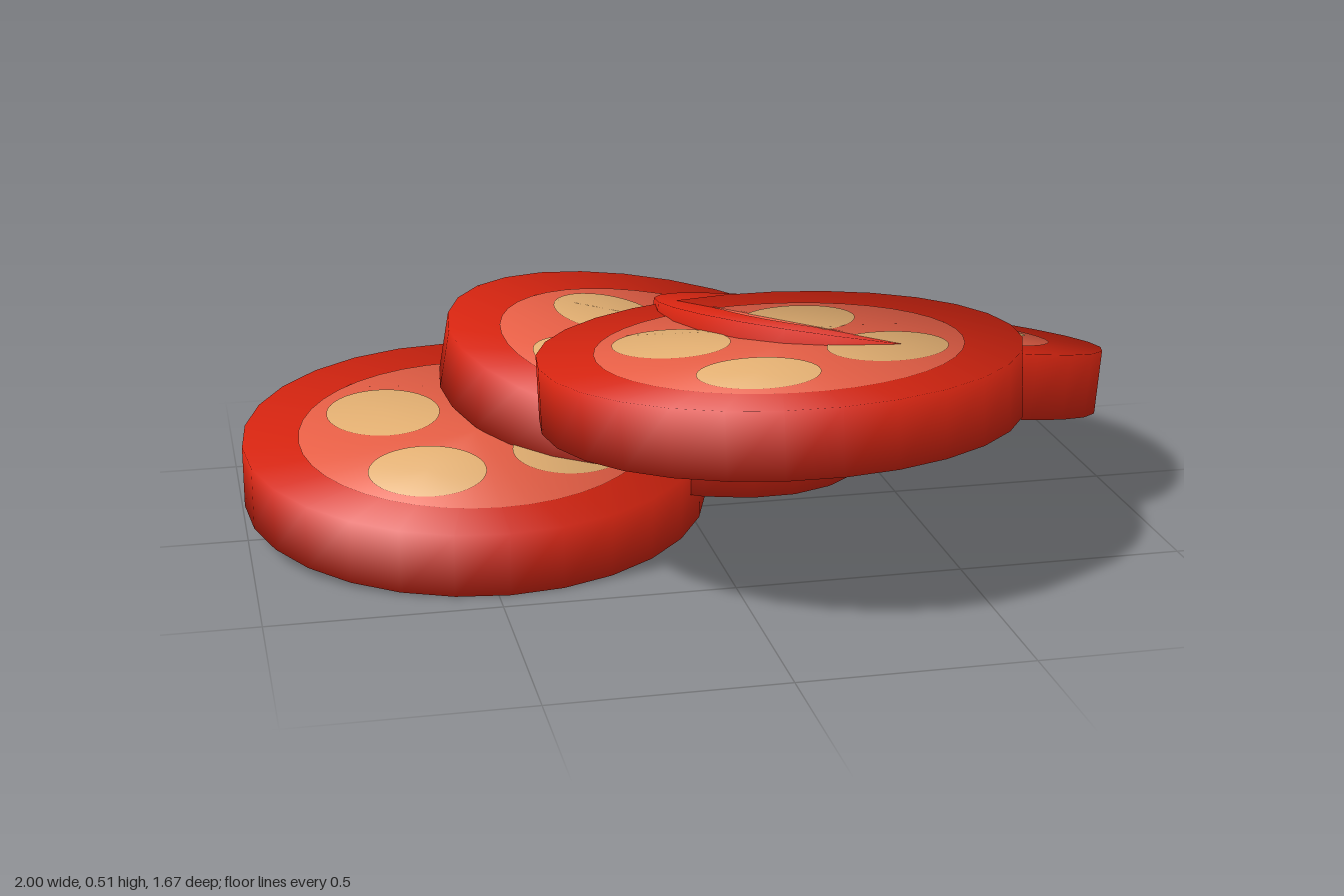
import * as THREE from 'three';

const R = 0.525, H = 0.0725; // slice radius and half thickness

const skin = new THREE.MeshStandardMaterial({ name: 'tomato skin red', color: 0xd42410 });
const flesh = new THREE.MeshStandardMaterial({ name: 'tomato flesh', color: 0xe55e45 });
const seed = new THREE.MeshStandardMaterial({ name: 'seed pocket tan', color: 0xe0ad70 });

// Soft shading: normals lean outward from the middle of the slice to its rim
function soften(geometry) {
  const p = geometry.attributes.position, n = geometry.attributes.normal;
  const v = new THREE.Vector3();
  for (let i = 0; i < p.count; i++) {
    v.set(p.getX(i) / R, Math.sign(p.getY(i)), p.getZ(i) / R).normalize();
    n.setXYZ(i, v.x, v.y, v.z);
  }
  return geometry;
}

// Flat disc lying just off the top (side 1) or bottom (side -1) of a slice
function disc(name, radius, x, z, side, lift, material) {
  const g = new THREE.CircleGeometry(radius, 40);
  g.rotateX(-side * Math.PI / 2);
  g.translate(x, side * (H + lift), z);
  const mesh = new THREE.Mesh(soften(g), material);
  mesh.name = name;
  return mesh;
}

function slice(name, turn) {
  const group = new THREE.Group();
  group.name = name;
  const rim = new THREE.Mesh(soften(new THREE.CylinderGeometry(R, R, 2 * H, 28)), skin);
  rim.name = 'skin';
  group.add(rim);
  for (const side of [1, -1]) {
    group.add(disc('flesh', 0.4, 0, 0, side, 0.0015, flesh));
    // four seed pockets around the middle
    for (let i = 0; i < 4; i++) {
      const a = turn + i * Math.PI / 2;
      group.add(disc('seedPocket', 0.13, 0.237 * Math.cos(a), 0.237 * Math.sin(a), side, 0.003, seed));
    }
  }
  return group;
}

export function createModel() {
  const model = new THREE.Group();
  model.name = 'tomatoSlices';
  // name, position, tilt about x and z, turn of the seed pockets
  const slices = [
    ['rightSlice', [-0.475, 0.125, -0.075], 0.1, 0, 0.6],
    ['backSlice', [0.005, 0.218, -0.31], 0.085, -0.16, 1.1],
    ['leftSlice', [0.47, 0.312, -0.1], -0.175, -0.15, -0.1],
    ['frontSlice', [0.14, 0.398, 0.305], -0.06, 0.03, 0.42],
  ];
  for (const [name, position, tiltX, tiltZ, turn] of slices) {
    const s = slice(name, turn);
    s.position.set(...position);
    s.rotation.set(tiltX, 0, tiltZ);
    model.add(s);
  }
  return model;
}
